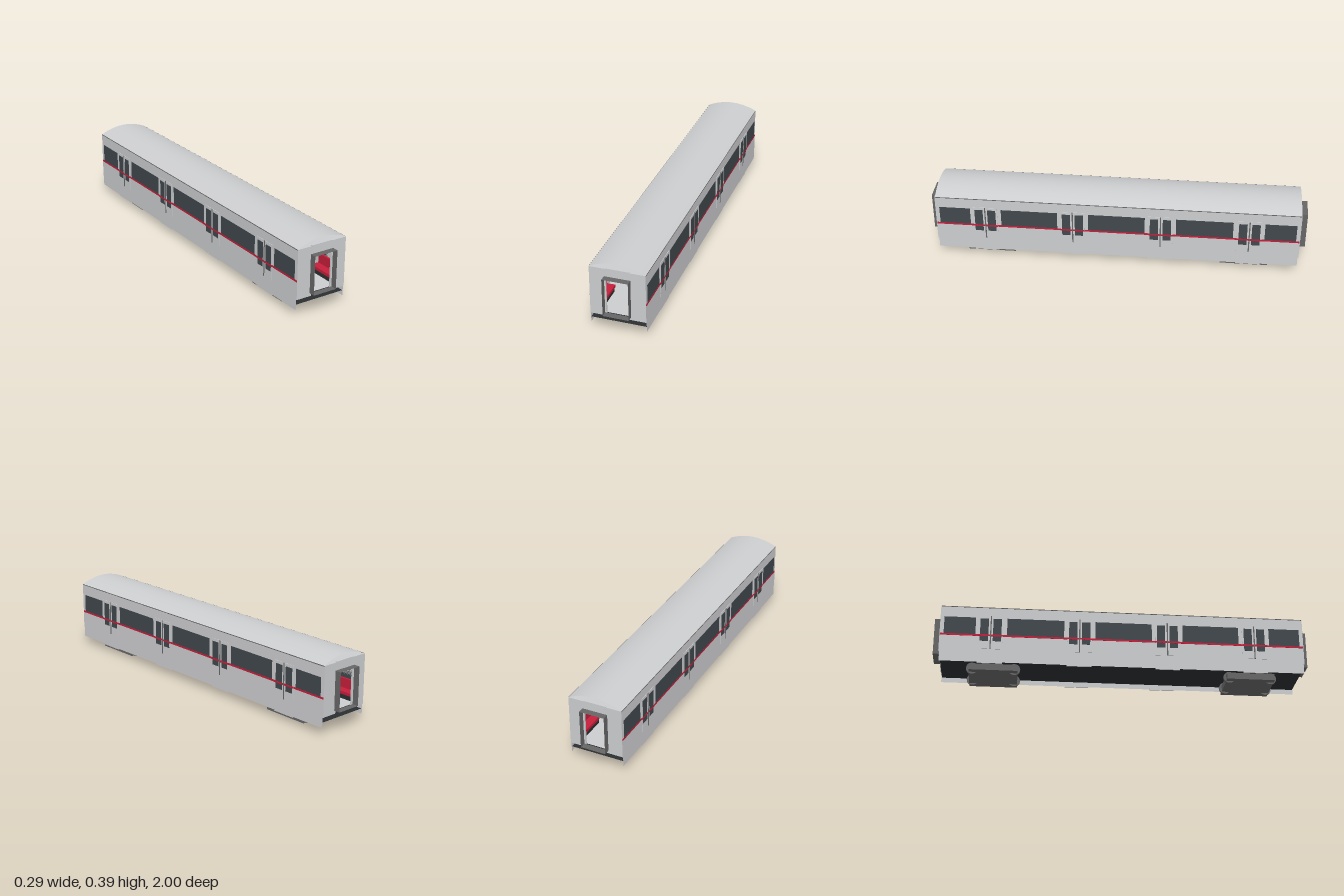
import * as THREE from 'three';

const mat = (name, color, side = THREE.FrontSide) => {
  const m = new THREE.MeshStandardMaterial({ color, side });
  m.name = name;
  return m;
};

export function createModel() {
  const body = mat('body grey', 0xcccdcf, THREE.DoubleSide);
  const glass = mat('dark glass', 0x40474c);
  const red = mat('stripe red', 0xc41e3a);
  const frame = mat('frame grey', 0x666666, THREE.DoubleSide);
  const under = mat('underbody black', 0x2b2e31, THREE.DoubleSide);

  const model = new THREE.Group();
  model.name = 'railCarriage';
  const W = 0.142, L = 0.963;

  // Box given by its minimum and maximum on each axis
  const box = (name, m, x0, x1, y0, y1, z0, z1, parent = model) => {
    const mesh = new THREE.Mesh(new THREE.BoxGeometry(Math.abs(x1 - x0), y1 - y0, z1 - z0), m);
    mesh.position.set((x0 + x1) / 2, (y0 + y1) / 2, (z0 + z1) / 2);
    mesh.name = name;
    parent.add(mesh);
    return mesh;
  };

  // Flat sheet lying level or standing along z
  const sheet = (name, m, w, l, x, y, z, upright = false) => {
    const g = new THREE.PlaneGeometry(w, l);
    g.rotateX(-Math.PI / 2);
    if (upright) g.rotateZ(x < 0 ? Math.PI / 2 : -Math.PI / 2);
    const mesh = new THREE.Mesh(g, m);
    mesh.position.set(x, y, z);
    mesh.name = name;
    model.add(mesh);
  };

  // Roof: level sheet bent to a shallow arch, open at both ends
  const roofGeo = new THREE.PlaneGeometry(2 * W, 2 * L, 14, 1).rotateX(-Math.PI / 2);
  const p = roofGeo.attributes.position;
  for (let i = 0; i < p.count; i++) {
    const t = p.getX(i) / W;
    p.setY(i, 0.357 + 0.033 * (1 - t * t));
  }
  roofGeo.computeVertexNormals();
  const roof = new THREE.Mesh(roofGeo, body);
  roof.name = 'roof';
  model.add(roof);

  // Ceiling, cabin floor and underframe
  sheet('ceiling', body, 2 * W, 2 * L - 0.01, 0, 0.355, 0);
  sheet('cabinFloor', body, 2 * W, 2 * L - 0.01, 0, 0.11, 0);
  sheet('underframe', under, 2 * W, 2 * L - 0.01, 0, 0.067, 0);

  const doors = [0.7, 0.233, -0.233, -0.7];
  const windows = [[0.78, 0.945], [0.315, 0.615], [-0.15, 0.15], [-0.615, -0.315], [-0.945, -0.78]];

  for (const s of [1, -1]) {
    // Side wall with gutter, windows and stripe
    sheet('sideWall', body, 0.317, 2 * L - 0.004, s * W, 0.1985, 0, true);
    box('gutter', frame, s * W, s * (W + 0.001), 0.353, 0.357, -L, L);
    for (const [a, b] of windows) {
      box('sideWindow', glass, s * W, s * (W + 0.001), 0.195, 0.295, a, b);
    }
    box('sideStripe', red, s * W, s * (W + 0.0015), 0.188, 0.198, -L, L);

    for (const z of doors) {
      // Double door with two panes, centre seam and step
      const door = new THREE.Group();
      door.name = 'door';
      model.add(door);
      box('doorLeaf', body, s * W, s * 0.1445, 0.115, 0.305, z - 0.065, z + 0.065, door);
      for (const k of [1, -1]) {
        const c = z + k * 0.034;
        box('doorWindow', glass, s * 0.144, s * 0.1453, 0.16, 0.29, c - 0.022, c + 0.022, door);
      }
      box('doorStripe', red, s * 0.144, s * 0.1458, 0.188, 0.198, z - 0.065, z + 0.065, door);
      box('doorSeam', frame, s * 0.144, s * 0.1462, 0.115, 0.305, z - 0.003, z + 0.003, door);
      box('doorStep', body, s * (W - 0.006), s * W, 0.035, 0.042, z - 0.065, z + 0.065, door);

      // Grab pole inside the door
      const pole = new THREE.Mesh(new THREE.CylinderGeometry(0.0015, 0.0015, 0.245, 8), frame);
      pole.position.set(s * 0.035, 0.2325, z);
      pole.name = 'grabPole';
      model.add(pole);
    }

    // Bench seats between the doors
    for (const [a, b] of windows) {
      box('seatBase', under, s * 0.09, s * 0.135, 0.11, 0.135, a, b);
      box('seatCushion', red, s * 0.085, s * 0.135, 0.135, 0.15, a, b);
      box('seatBack', red, s * 0.128, s * 0.139, 0.15, 0.2, a, b);
    }
  }

  for (const e of [1, -1]) {
    // End wall: two jambs and a header around the doorway
    const z0 = Math.min(e * 0.957, e * 0.966), z1 = Math.max(e * 0.957, e * 0.966);
    for (const s of [1, -1]) box('endJamb', body, s * 0.058, s * W, 0.095, 0.357, z0, z1);
    box('endHeader', body, -0.06, 0.06, 0.31, 0.36, z0 - 0.0003, z1 + 0.0003);

    // Gangway: open tube around the doorway
    const gz = e * 0.983;
    for (const s of [1, -1]) sheet('gangwaySide', frame, 0.204, 0.034, s * 0.066, 0.214, gz, true);
    sheet('gangwayTop', frame, 0.132, 0.034, 0, 0.316, gz);
    sheet('gangwayBottom', frame, 0.132, 0.034, 0, 0.112, gz);

    // Bogie: flat frame with four wheels
    const bogie = new THREE.Group();
    bogie.name = 'bogie';
    bogie.position.z = e * 0.68;
    model.add(bogie);
    box('bogieFrame', frame, -0.111, 0.111, 0.01, 0.045, -0.127, 0.127, bogie);
    for (const x of [-0.073, 0.073]) {
      for (const z of [-0.11, 0.11]) {
        const wheel = new THREE.Mesh(
          new THREE.CylinderGeometry(0.0315, 0.0315, 0.012, 20).rotateZ(Math.PI / 2), frame);
        wheel.position.set(x, 0.0315, z);
        wheel.name = 'wheel';
        bogie.add(wheel);
      }
    }
  }
  return model;
}
